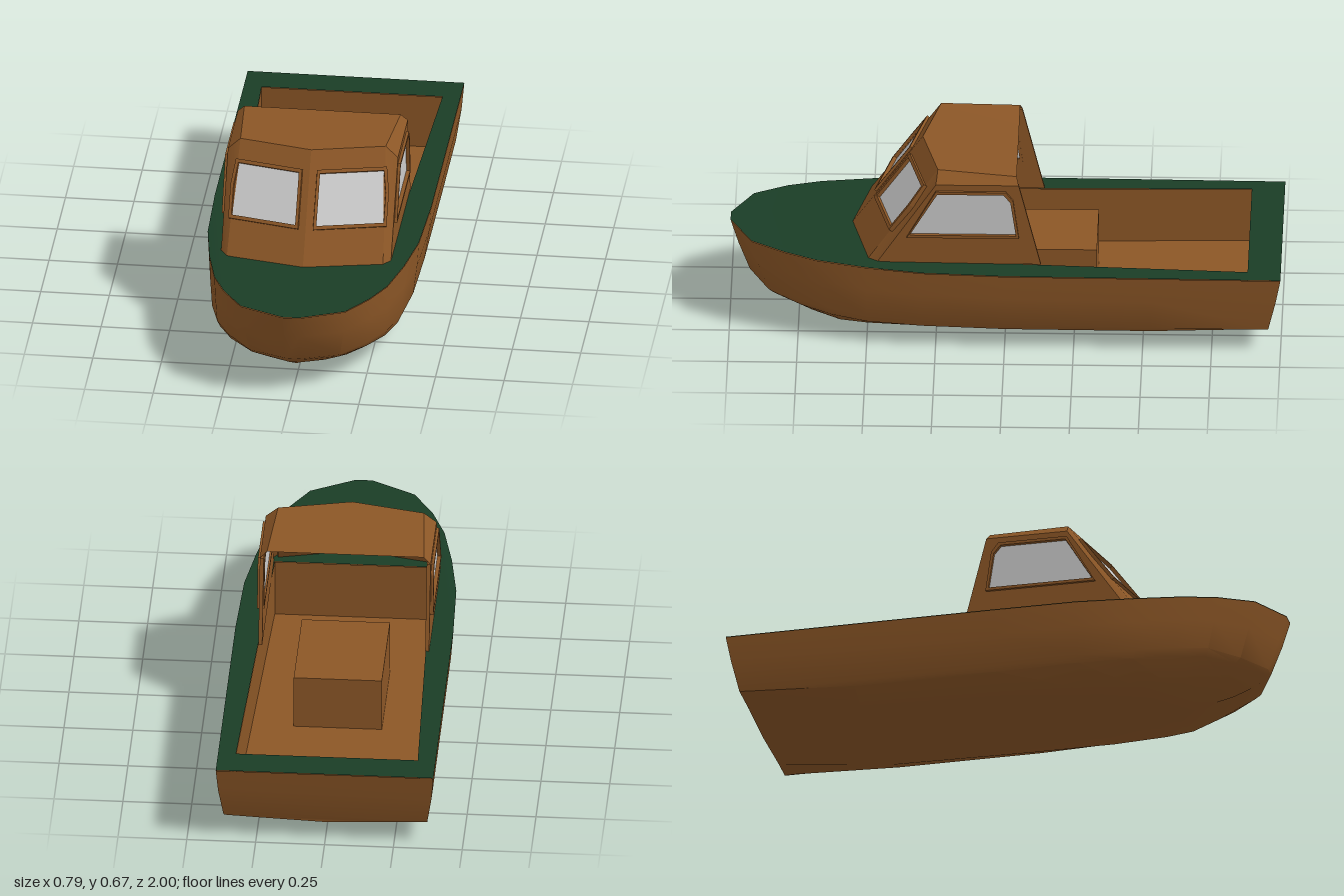
import * as THREE from 'three';
import { toCreasedNormals } from 'three/addons/utils/BufferGeometryUtils.js';

const material = (color) => new THREE.MeshStandardMaterial({ color, side: THREE.DoubleSide });
const wood = material(0x8b5626), green = material(0x1a3d26), glass = material(0xcccccc);
const V = (x, y, z) => new THREE.Vector3(x, y, z);

function mesh(name, geometry, mat) {
  const m = new THREE.Mesh(geometry, mat);
  m.name = name;
  return m;
}

// Four-cornered faces, corners counter-clockwise from outside
function quads(list, crease = 0.5) {
  const pos = [];
  for (const [a, b, c, d] of list) pos.push(...a, ...b, ...c, ...a, ...c, ...d);
  const g = new THREE.BufferGeometry();
  g.setAttribute('position', new THREE.Float32BufferAttribute(pos, 3));
  return toCreasedNormals(g, crease);
}

const flip = ([x, y, z]) => [-x, y, z];
const blend = (a, b, t) => a.map((c, k) => c + (b[k] - c) * t[k]);

// One hull station: the topside and strake points are blended between the given corners
function station(gunwale, chine, bilge, keelY, keelZ) {
  const topside = blend(gunwale, chine, [.3, .45, .4]);
  const strake = blend(chine, bilge, [.1, .3, .3]);
  return [gunwale, topside, chine, strake, bilge, [0, keelY, keelZ]];
}

// Midship station lying in one plane
const upright = (z, gx, gy, cx, cy, bx, by, ky) => station([gx, gy, z], [cx, cy, z], [bx, by, z], ky, z);

// Stations from bow to stern
const stations = [
  station([.03, .34, 1], [.025, .14, .93], [.02, .095, .87], .055, .8),
  station([.19, .335, .92], [.165, .13, .86], [.1, .07, .79], .035, .72),
  station([.265, .33, .8], [.255, .137, .76], [.17, .05, .7], .015, .65),
  station([.315, .323, .68], [.31, .127, .64], [.205, .03, .6], .004, .58),
  upright(.5, .355, .316, .345, .116, .215, .023, .008),
  upright(.3, .385, .311, .365, .107, .24, .026, .006),
  upright(0, .395, .306, .37, .095, .25, .03, .006),
  upright(-.53, .395, .303, .37, .09, .25, .035, .015),
  station([.395, .3, -1], [.37, .09, -.955], [.25, .08, -.95], .07, -.95),
];

function hull() {
  const faces = [];
  const rows = stations[0].length;
  for (let i = 0; i < stations.length - 1; i++) {
    const a = stations[i], b = stations[i + 1];
    for (let j = 0; j < rows - 1; j++) {
      faces.push([a[j], a[j + 1], b[j + 1], b[j]]);
      faces.push([b[j], b[j + 1], a[j + 1], a[j]].map(flip));
    }
  }
  // Stem and transom
  const bow = stations[0], stern = stations[stations.length - 1];
  for (let j = 0; j < rows - 1; j++) {
    faces.push([bow[j], flip(bow[j]), flip(bow[j + 1]), bow[j + 1]]);
    faces.push([stern[j], stern[j + 1], flip(stern[j + 1]), flip(stern[j])]);
  }
  return mesh('hull', quads(faces, 0.6), wood);
}

// Height of the sheer line at a given z
function sheer(z) {
  const i = Math.max(1, stations.findIndex(([g]) => z >= g[2]));
  const [, y0, z0] = stations[i - 1][0], [, y1, z1] = stations[i][0];
  return y0 + (y1 - y0) * (z0 - z) / (z0 - z1);
}

const opening = [[.33, -.88], [.285, .45], [-.285, .45], [-.33, -.88]];

function deck() {
  const edge = stations.map(([g]) => [g[0], g[2]]);
  const outline = [...edge, ...edge.map(([x, z]) => [-x, z]).reverse()];
  const to2 = ([x, z]) => new THREE.Vector2(x, -z);
  const shape = new THREE.Shape(outline.map(to2));
  shape.holes.push(new THREE.Path(opening.map(to2)));
  const g = new THREE.ShapeGeometry(shape);
  const p = g.attributes.position;
  for (let i = 0; i < p.count; i++) {
    const z = -p.getY(i);
    p.setXYZ(i, p.getX(i), sheer(z) + 0.002, z);
  }
  g.computeVertexNormals();
  return mesh('deck', g, green);
}

function cockpit() {
  const g = new THREE.Group();
  g.name = 'cockpit';
  const floorY = 0.095;
  const walls = opening.map((a, i) => {
    const b = opening[(i + 1) % 4];
    return [[a[0], floorY, a[1]], [b[0], floorY, b[1]], [b[0], sheer(b[1]), b[1]], [a[0], sheer(a[1]), a[1]]];
  });
  g.add(mesh('cockpitWalls', quads(walls), wood));
  g.add(mesh('floor', quads([opening.map(([x, z]) => [x, floorY, z]).reverse()]), wood));
  const box = mesh('engineBox', new THREE.BoxGeometry(.32, .205, .41), wood);
  box.position.set(0, .1975, -.125);
  g.add(box);
  return g;
}

// Extrude a flat outline from depth d0 to d1 along the normal of a plane
function slab(name, outline, hole, { o, u, v }, d0, d1, mat) {
  const to2 = ([x, y]) => new THREE.Vector2(x, y);
  const shape = new THREE.Shape(outline.map(to2));
  if (hole) shape.holes.push(new THREE.Path(hole.map(to2)));
  const geo = new THREE.ExtrudeGeometry(shape, { depth: d1 - d0, bevelEnabled: false });
  const n = u.clone().cross(v).normalize();
  geo.translate(0, 0, d0);
  geo.applyMatrix4(new THREE.Matrix4().makeBasis(u, v, n).setPosition(o));
  geo.computeVertexNormals();
  return mesh(name, geo, mat);
}

// Grow an outline by a margin about the middle of its bounds
function grow(points, m) {
  const range = [0, 1].map((k) => points.map((p) => p[k])).map((c) => [Math.min(...c), Math.max(...c)]);
  return points.map((p) => p.map((c, k) => {
    const [lo, hi] = range[k], mid = (lo + hi) / 2;
    return mid + (c - mid) * (1 + 2 * m / (hi - lo));
  }));
}

// A wall with a framed window
function windowWall(name, wall, pane, plane) {
  const g = new THREE.Group();
  g.name = name;
  g.add(slab(name + 'Panel', wall, pane, plane, -.014, 0, wood));
  g.add(slab(name + 'Frame', grow(pane, .011), pane, plane, -.016, .01, wood));
  g.add(slab(name + 'Glass', pane, null, plane, -.009, -.004, glass));
  return g;
}

function cabin() {
  const g = new THREE.Group();
  g.name = 'cabin';
  const base = .312, k = .228, m = .7286;
  const frontZ = (x, y) => .565 - m * (y - base) - k * x;
  const front = (x, y) => [x, y, frontZ(x, y)];
  for (const s of [1, -1]) {
    const side = s > 0 ? 'left' : 'right';
    const mirror = (pts) => pts.map(([x, y]) => [s * x, y]);
    g.add(windowWall(side + 'Windshield',
      mirror([[0, base], [.285, base], [.265, .67], [0, .67]]),
      mirror([[.037, .441], [.276, .441], [.276, .53], [.264, .597], [.037, .597]]),
      { o: V(0, 0, frontZ(0, 0)), u: V(1, 0, -s * k), v: V(0, 1, -m) }));
    // Side outlines are given as z, y
    const sideways = (pts) => pts.map(([z, y]) => [-s * z, y]);
    g.add(windowWall(side + 'Wall',
      sideways([[-.13, base], [.465, base], [.25, .63], [-.05, .63]]),
      sideways([[-.04, .43], [.345, .43], [.245, .595], [.005, .595], [-.02, .565]]),
      { o: V(s * .31, 0, 0), u: V(0, 0, -s), v: V(0, 1, 0) }));
    // Front corner post
    const post = [[.31, base, .465], [.31, .63, .25], front(.265, .67), front(.285, base)];
    g.add(mesh(side + 'CornerPost', quads([s > 0 ? post : post.map(flip).reverse()]), wood));
  }
  // Roof with sloped edges
  const roof = [];
  const e0 = [.31, .63, -.05], e1 = [.31, .63, .25];
  const t0 = [.285, .655, -.042], t1 = front(.265, .67), c0 = [0, .655, -.042], c1 = front(0, .67);
  for (const q of [[e0, t0, t1, e1], [t0, c0, c1, t1]]) roof.push(q, [...q].reverse().map(flip));
  g.add(mesh('roof', quads(roof, 0.3), wood));
  g.position.x = -.007;
  return g;
}

export function createModel() {
  const model = new THREE.Group();
  model.name = 'boat';
  model.add(hull(), deck(), cockpit(), cabin());
  return model;
}
